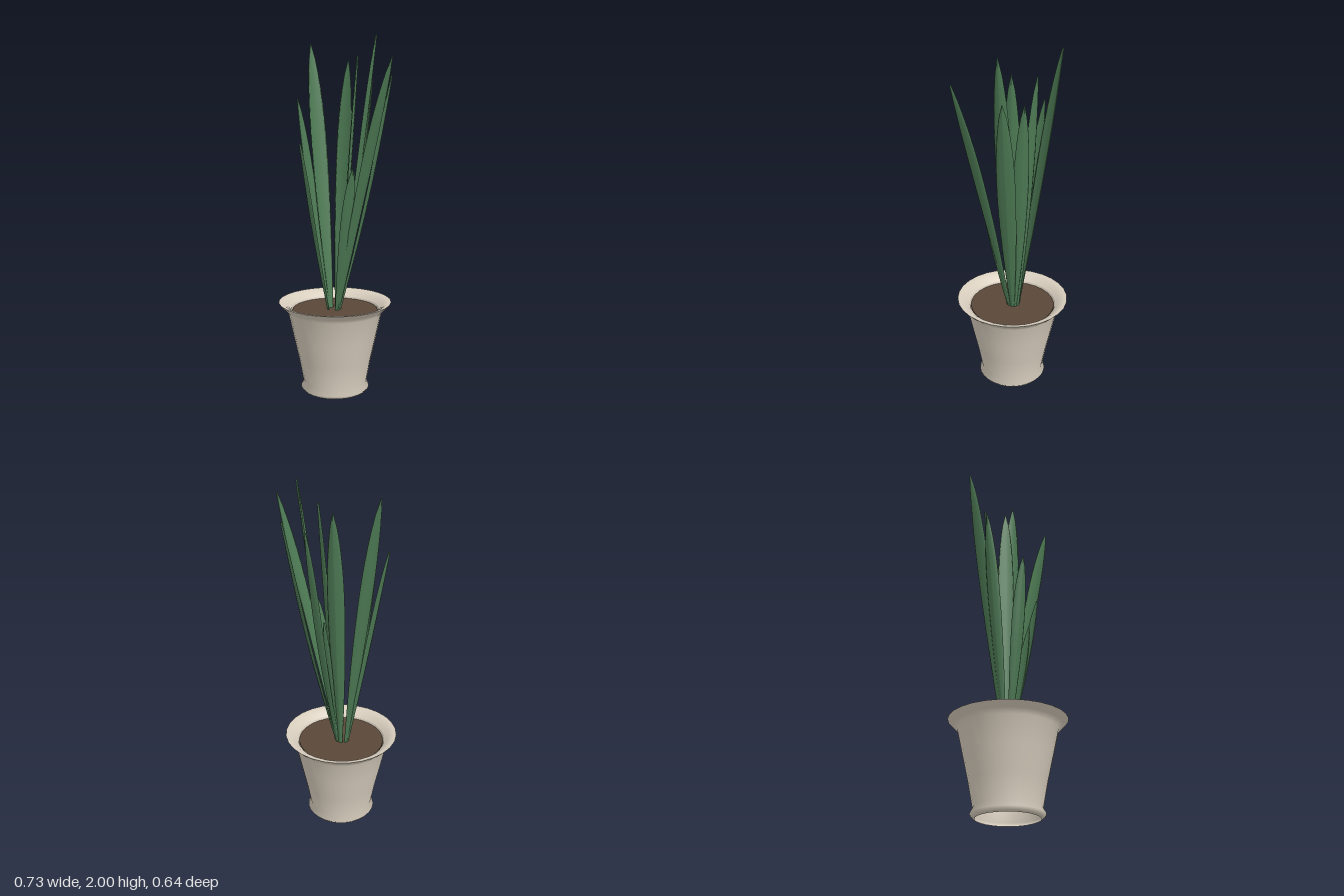
import * as THREE from 'three';

const CX = -0.045; // pot axis
const potMat = new THREE.MeshStandardMaterial({ color: 0xd8cebe, side: THREE.DoubleSide });
const soilMat = new THREE.MeshStandardMaterial({ color: 0x5a4838 });
const leafMat = new THREE.MeshStandardMaterial({ color: 0x4d7a54, side: THREE.DoubleSide });

function lathe(name, points) {
  const geo = new THREE.LatheGeometry(points.map(([r, y]) => new THREE.Vector2(r, y)), 28);
  const mesh = new THREE.Mesh(geo, potMat);
  mesh.name = name;
  mesh.position.x = CX;
  return mesh;
}

// Half-width along the blade: narrow base, widest past the middle, pointed tip
function bladeProfile(t) {
  const swell = 0.24 + 0.76 * Math.sin(Math.min(t / 0.64, 1) * Math.PI / 2);
  return swell * (t < 0.64 ? 1 : 0.04 + 0.96 * Math.pow(Math.max(0, 1 - Math.pow((t - 0.64) / 0.36, 2)), 0.75));
}

// A thin cupped blade leaning from the crown to its tip, hollow side facing the axis
function blade([x, y, z, width, bow]) {
  const out = new THREE.Vector3(x - CX, 0, z).normalize();
  const side = new THREE.Vector3(out.z, 0, -out.x);
  const base = new THREE.Vector3(CX - 0.008, 0.47, 0).addScaledVector(out, 0.033);
  const tip = new THREE.Vector3(x, y, z);
  const geo = new THREE.CylinderGeometry(1, 1, 1, 12, 18);
  const pos = geo.attributes.position;
  const p = new THREE.Vector3();
  for (let i = 0; i < pos.count; i++) {
    const u = pos.getX(i), depth = pos.getZ(i), t = pos.getY(i) + 0.5;
    const half = width / 2 * bladeProfile(t);
    p.lerpVectors(base, tip, t)
      .addScaledVector(side, u * half)
      .addScaledVector(out, 0.005 * depth - 0.3 * half * u * u + bow * Math.sin(Math.PI * t));
    pos.setXYZ(i, p.x, p.y, p.z);
  }
  geo.computeVertexNormals();
  const mesh = new THREE.Mesh(geo, leafMat);
  mesh.name = 'leaf';
  return mesh;
}

export function createModel() {
  const model = new THREE.Group();
  model.name = 'pottedPlant';

  // Pot, open underneath: foot ring sweeping into a tapered wall and flared rim
  const pot = new THREE.Group();
  pot.name = 'pot';
  pot.add(lathe('potWall', [[0.168, 0.002], [0.18, 0.008], [0.195, 0.026], [0.18, 0.056], [0.205, 0.19],
    [0.236, 0.33], [0.266, 0.468], [0.29, 0.493], [0.319, 0.523]]));
  pot.add(lathe('potRim', [[0.319, 0.523], [0.3, 0.521], [0.282, 0.513], [0.265, 0.5], [0.25, 0.486]]));
  pot.add(lathe('potInnerLip', [[0.25, 0.486], [0.24, 0.46]]));
  model.add(pot);

  // Soil
  const soil = new THREE.Mesh(new THREE.CylinderGeometry(0.242, 0.242, 0.012, 28), soilMat);
  soil.name = 'soil';
  soil.position.set(CX, 0.471, 0);
  model.add(soil);

  // Leaves: tip x, y, z, blade width and outward bow
  const leaves = new THREE.Group();
  leaves.name = 'leaves';
  [
    [0.36, 1.88, 0.005, 0.09, -0.005],
    [0.2, 1.79, -0.19, 0.1, 0.02],
    [-0.315, 1.965, -0.088, 0.1, 0.005],
    [-0.305, 1.66, 0.03, 0.075, 0.005],
    [-0.148, 1.42, 0.168, 0.075, 0.01],
    [0.15, 1.3, 0.068, 0.075, 0.01],
    [0.157, 2.0, -0.108, 0.09, 0.01],
    [0.055, 1.76, -0.195, 0.085, 0.02],
    [-0.078, 1.87, -0.147, 0.095, 0.01],
    [0.045, 1.89, -0.085, 0.09, 0.005],
    [0.11, 1.12, 0.035, 0.065, 0.01],
    [0.0, 1.25, -0.11, 0.06, 0.01],
  ].forEach((spec) => leaves.add(blade(spec)));
  model.add(leaves);

  return model;
}
